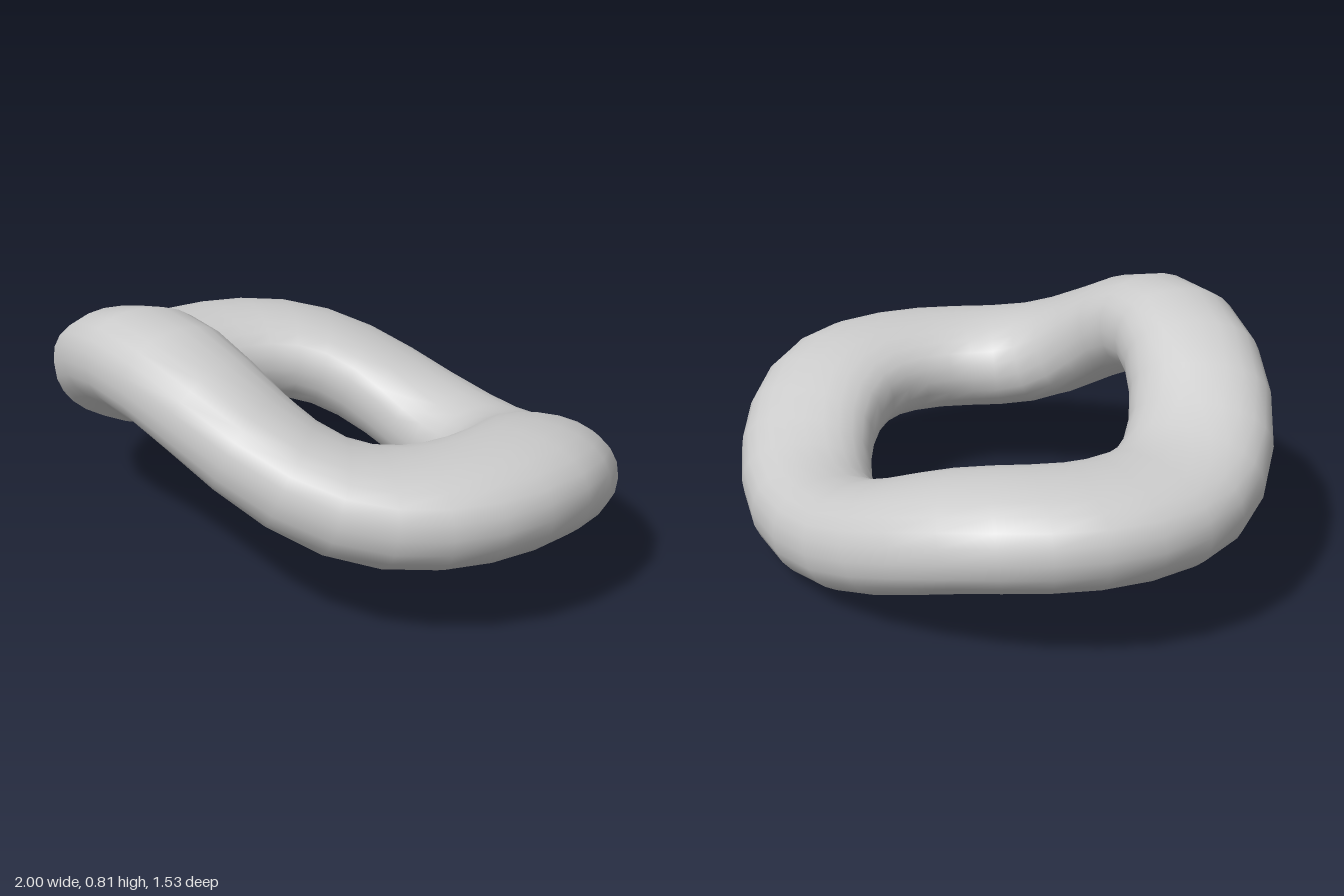
import * as THREE from 'three';

// signed power, turns circles into slightly squared ovals
const spow = (v, p) => Math.sign(v) * Math.abs(v) ** p;

// centre line of the ring: oval from above, front lifted, back lowered
function centre(t) {
  const s = Math.sin(t - 0.13);
  const lift = s > 0 ? 0.287 * s ** 4.3 : -0.21 * (-s) ** 3.8;
  return new THREE.Vector3(
    0.745 * spow(Math.cos(t), 0.95),
    0.365 + lift,
    0.57 * spow(Math.sin(t), 0.95)
  );
}

export function createModel() {
  const group = new THREE.Group();
  const AROUND = 32, SIDES = 24, TAU = Math.PI * 2;
  const pos = [], idx = [];

  for (let i = 0; i < AROUND; i++) {
    // section frame: out points away from the hole, up is square to the path
    const t = (i / AROUND) * TAU;
    const mid = centre(t);
    const along = centre(t + 0.06).sub(centre(t - 0.06)).normalize();
    const up = new THREE.Vector3(0, 1, 0).addScaledVector(along, -along.y).normalize();
    // the back corners are a little fuller than the front ones
    const bulge = Math.sin(t) < 0 ? 0.9 : 0.96;
    const out = new THREE.Vector3(
      0.255 * spow(Math.cos(t), bulge), 0, 0.195 * spow(Math.sin(t), bulge)
    );
    for (let j = 0; j < SIDES; j++) {
      // oval cross-section, wider than high
      const v = (j / SIDES) * TAU;
      const p = mid.clone()
        .addScaledVector(out, spow(Math.cos(v), 0.9))
        .addScaledVector(up, 0.157 * spow(Math.sin(v), 0.9));
      pos.push(p.x, p.y, p.z);
      // quad to the next section
      const i2 = (i + 1) % AROUND, j2 = (j + 1) % SIDES;
      const a = i * SIDES + j, b = i * SIDES + j2;
      const c = i2 * SIDES + j2, d = i2 * SIDES + j;
      idx.push(a, b, d, b, c, d);
    }
  }

  const geo = new THREE.BufferGeometry();
  geo.setAttribute('position', new THREE.Float32BufferAttribute(pos, 3));
  geo.setIndex(idx);
  geo.computeVertexNormals();

  const ring = new THREE.Mesh(geo, new THREE.MeshStandardMaterial({ color: 0xcccccc }));
  ring.name = 'wavyRing';
  group.add(ring);
  return group;
}
